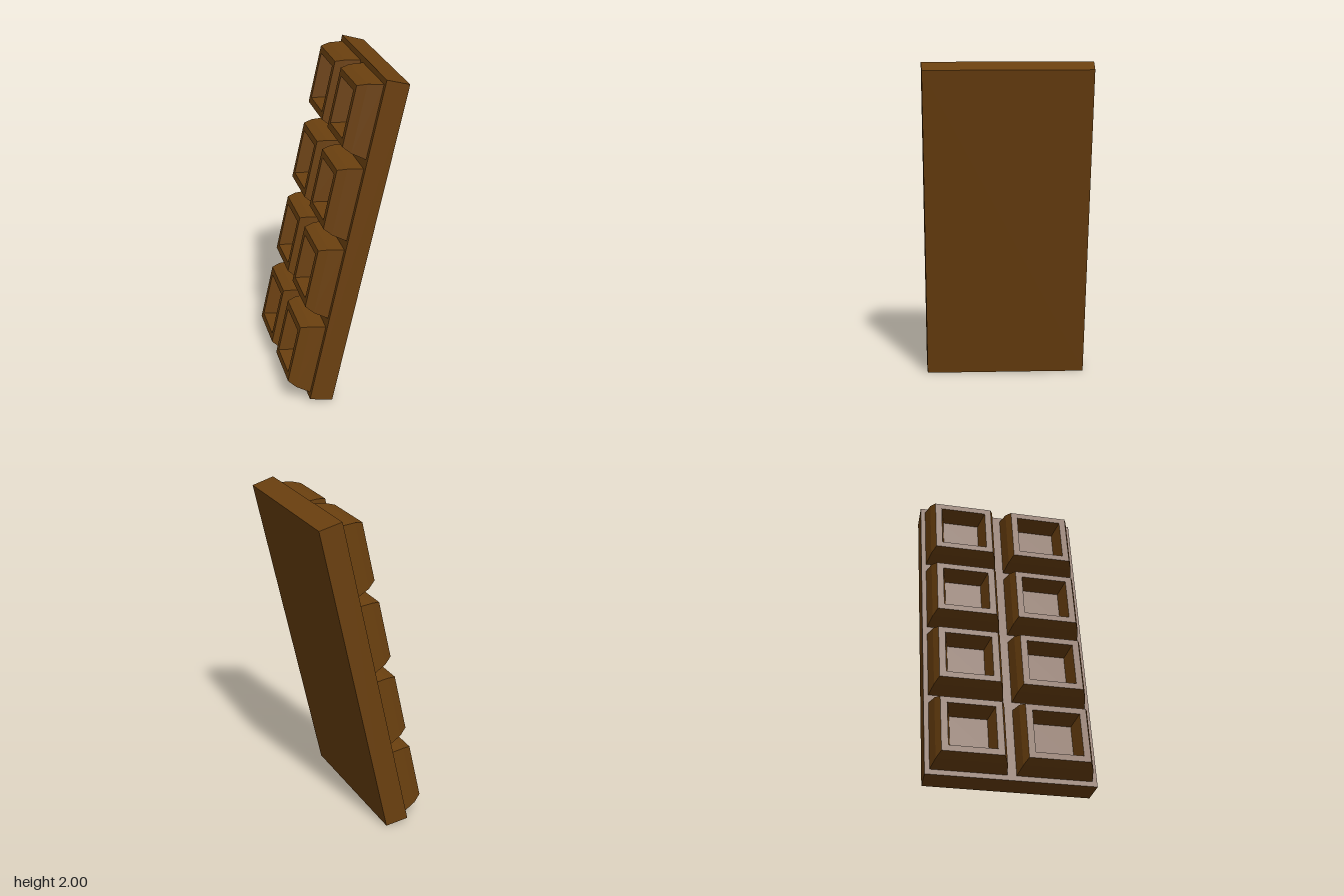
import * as THREE from 'three';

const material = new THREE.MeshStandardMaterial({ color: 0x6b400f, flatShading: true });

// Lofts rectangular rings [height, halfLength, halfWidth]; height runs along -x, length y, width z.
function loft(rings, capStart) {
  const positions = [];
  const corners = [[-1, -1], [1, -1], [1, 1], [-1, 1]];
  const points = rings.map(([h, l, w]) => corners.map(([sy, sz]) => [-h, sy * l, sz * w]));
  const quad = (a, b, c, d) => positions.push(...a, ...b, ...c, ...a, ...c, ...d);
  for (let i = 0; i < rings.length - 1; i++) {
    for (let j = 0; j < 4; j++) {
      const k = (j + 1) % 4;
      quad(points[i][j], points[i + 1][j], points[i + 1][k], points[i][k]);
    }
  }
  const end = points[points.length - 1];
  quad(end[3], end[2], end[1], end[0]);
  if (capStart) quad(...points[0]);
  const geometry = new THREE.BufferGeometry();
  geometry.setAttribute('position', new THREE.Float32BufferAttribute(positions, 3));
  geometry.computeVertexNormals();
  return geometry;
}

export function createModel() {
  const model = new THREE.Group();
  model.name = 'chocolateBar';

  // Whole bar leans over towards +x
  const bar = new THREE.Group();
  bar.name = 'leaningBar';
  bar.position.set(-0.0125, 1.0127, 0);
  bar.rotation.z = -0.2215;
  model.add(bar);

  // Backing slab, very slightly narrower at the back
  const slab = new THREE.Mesh(loft([[-0.142, 1.006, 0.496], [0, 1.012, 0.504]], true), material);
  slab.name = 'slab';
  bar.add(slab);

  // Raised piece: bevelled sides, flat rim, tapered recess
  const pieceGeometry = loft([
    [-0.003, 0.224, 0.225],
    [0.088, 0.205, 0.206],
    [0.14, 0.182, 0.182],
    [0.14, 0.143, 0.142],
    [0.04, 0.114, 0.113],
  ], false);

  // Four rows of two pieces
  for (let row = 0; row < 4; row++) {
    for (const side of [-1, 1]) {
      const piece = new THREE.Mesh(pieceGeometry, material);
      piece.name = `piece${row + 1}${side > 0 ? 'Left' : 'Right'}`;
      piece.position.set(0, (row - 1.5) * 0.504, side * 0.251);
      bar.add(piece);
    }
  }
  return model;
}
